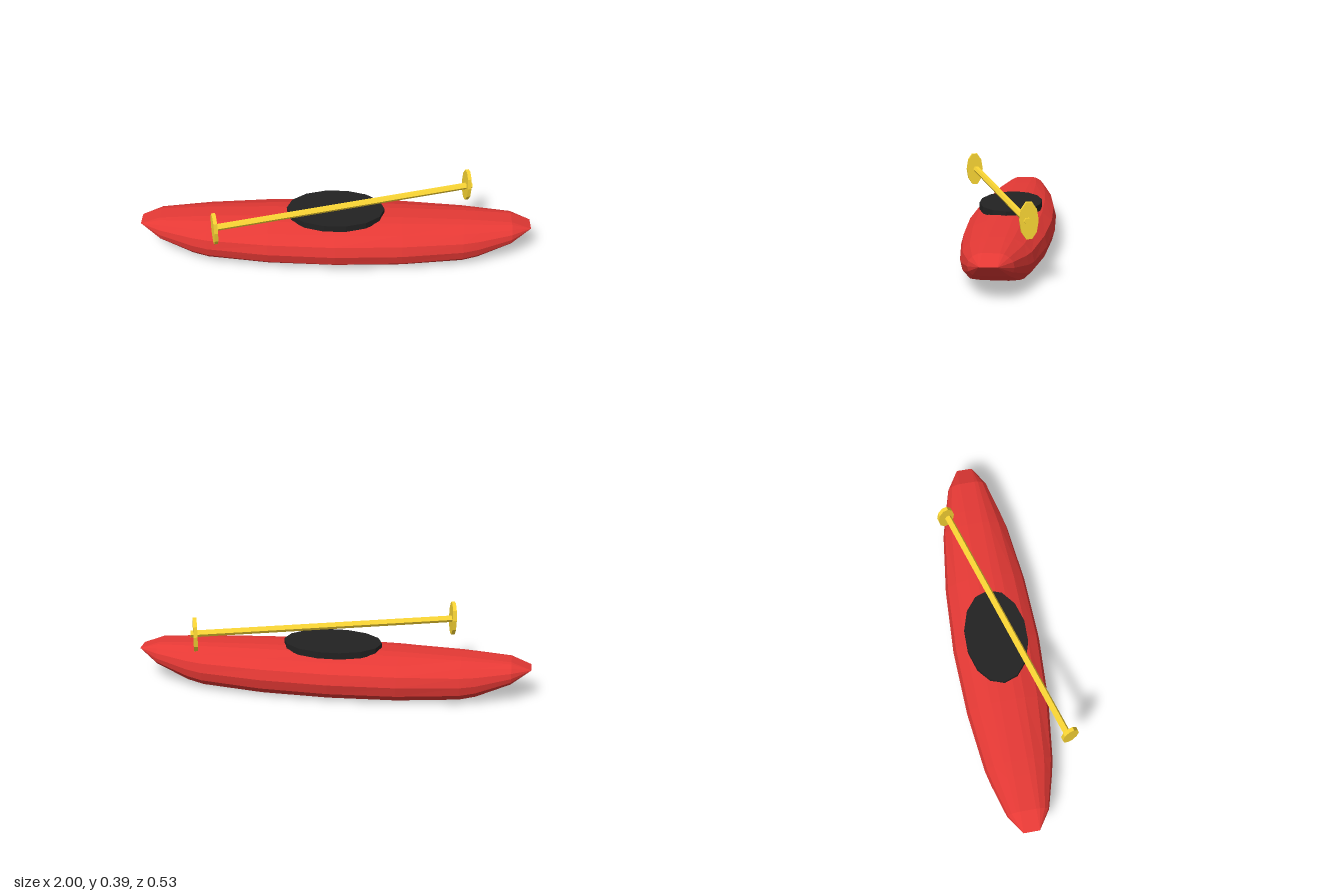
import * as THREE from 'three';

const material = (color) => new THREE.MeshStandardMaterial({ color, flatShading: true });

// Hull half section: [spread from ridge to beam, height from beam (0) to deck (1) or keel (-1)]
const HALF = [[0.2, -1], [0.65, -0.93], [0.92, -0.52], [1, 0], [0.92, 0.41], [0.65, 0.73], [0.27, 0.94], [0, 1]];
// Stations along the hull: [x, half beam, keel y, beam y, deck y]
const STATIONS = [
  [0, 0.225, 0, 0.103, 0.23],
  [0.34, 0.21, 0.003, 0.103, 0.228],
  [0.65, 0.172, 0.018, 0.106, 0.22],
  [0.73, 0.153, 0.034, 0.112, 0.216],
  [0.9, 0.105, 0.1, 0.142, 0.205],
  [1, 0.04, 0.167, 0.167, 0.167],
];
const RIDGE = 0.04; // half width of the flat ridge and of the tips

function hullGeometry() {
  const stations = [
    ...STATIONS.slice(1).reverse().map(([x, ...rest]) => [-x, ...rest]),
    ...STATIONS,
  ];
  const loop = [
    ...HALF.map(([f, h]) => [1, f, h]),
    ...[...HALF].reverse().map(([f, h]) => [-1, f, h]),
  ];
  const n = loop.length, positions = [], index = [];
  stations.forEach(([x, beam, keel, mid, deck], i) => {
    loop.forEach(([side, f, h], k) => {
      const y = h > 0 ? mid + (deck - mid) * h : mid + (mid - keel) * h;
      positions.push(x, y, side * (RIDGE + (beam - RIDGE) * f));
      if (i === stations.length - 1) return;
      const a = i * n + k, d = i * n + (k + 1) % n;
      index.push(a, a + n, d + n, a, d + n, d);
    });
  });
  const geometry = new THREE.BufferGeometry();
  geometry.setAttribute('position', new THREE.Float32BufferAttribute(positions, 3));
  geometry.setIndex(index);
  geometry.computeVertexNormals();
  return geometry;
}

// Prism lying along x
const rod = (radius, length, sides) =>
  new THREE.CylinderGeometry(radius, radius, length, sides).rotateZ(Math.PI / 2);

export function createModel() {
  const model = new THREE.Group();
  model.name = 'kayak';

  function add(name, geometry, mat, x, y, z, turn = 0) {
    const mesh = new THREE.Mesh(geometry, mat);
    mesh.name = name;
    mesh.position.set(x, y, z);
    mesh.rotation.y = turn;
    model.add(mesh);
  }

  // Hull
  add('hull', hullGeometry(), material(0xe53935), 0, 0, -0.04);

  // Oval cockpit cover
  const cover = new THREE.CylinderGeometry(1, 1, 0.034, 14).rotateY(Math.PI / 2).scale(0.25, 1, 0.159);
  add('cockpit', cover, material(0x222222), 0, 0.233, -0.04);

  // Paddle laid diagonally above the deck
  const yellow = material(0xfdd835), turn = 0.3;
  add('paddleShaft', rod(0.017, 1.35, 6), yellow, 0.055, 0.305, 0.014, turn);
  const blade = rod(1, 0.019, 10).scale(1, 0.09, 0.044);
  add('paddleBladeRight', blade, yellow, -0.59, 0.305, 0.222, turn);
  add('paddleBladeLeft', blade, yellow, 0.675, 0.305, -0.188, turn);

  return model;
}
